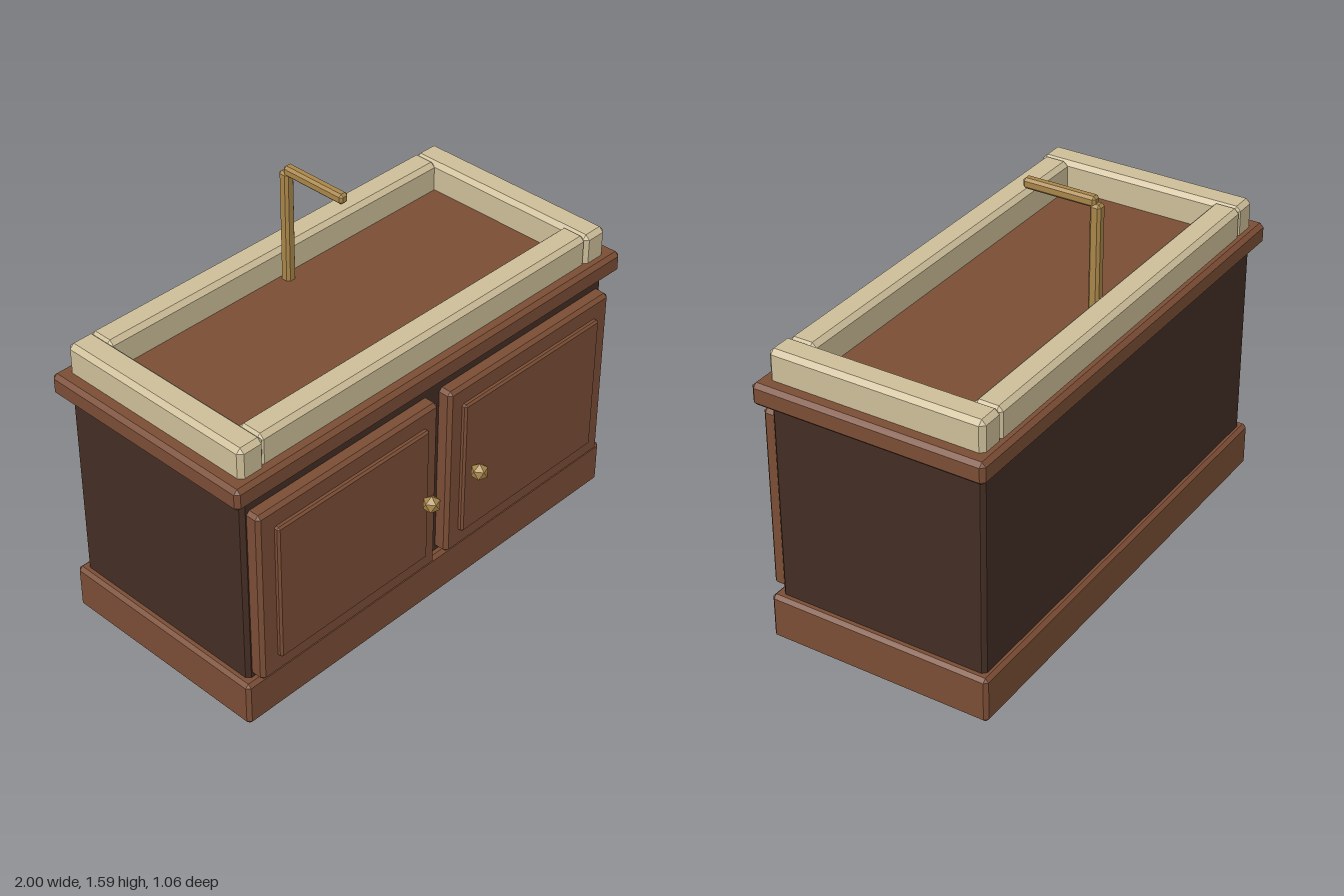
import * as THREE from 'three';
import { ConvexGeometry } from 'three/addons/geometries/ConvexGeometry.js';

const material = (name, color) => {
  const m = new THREE.MeshStandardMaterial({ color });
  m.name = name;
  return m;
};

// Box with flat chamfered edges, given as [min, max] along each axis
function chamferBox(xs, ys, zs, bevel) {
  const ranges = [xs, ys, zs];
  const points = [];
  for (let corner = 0; corner < 8; corner++) {
    const bits = [corner & 1, (corner >> 1) & 1, (corner >> 2) & 1];
    for (let outer = 0; outer < 3; outer++) {
      // one coordinate touches its face, the other two are inset
      const p = bits.map((b, i) => ranges[i][b] + (i === outer ? 0 : b ? -bevel : bevel));
      points.push(new THREE.Vector3(...p));
    }
  }
  return new ConvexGeometry(points);
}

export function createModel() {
  const wood = material('warm wood', 0x7a4d35);
  const darkWood = material('dark wood', 0x432d23);
  const stone = material('cream stone', 0xcdbe99);
  const brass = material('brass', 0xa98649);

  const group = new THREE.Group();
  group.name = 'washstand';
  const add = (name, geometry, mat) => {
    const mesh = new THREE.Mesh(geometry, mat);
    mesh.name = name;
    group.add(mesh);
    return mesh;
  };
  const box = (name, xs, ys, zs, bevel, mat) => add(name, chamferBox(xs, ys, zs, bevel), mat);

  // Cabinet
  box('cabinetBody', [-0.945, 0.945], [0.01, 1.05], [-0.495, 0.38], 0.015, darkWood);
  box('plinth', [-0.975, 0.975], [0, 0.19], [-0.52, 0.41], 0.014, wood);
  box('counter', [-1, 1], [1.01, 1.1], [-0.53, 0.42], 0.016, wood);

  // Basin rim: front and back rails butt into the side rails
  box('rimFront', [-0.845, 0.845], [1.08, 1.22], [0.258, 0.372], 0.018, stone);
  box('rimBack', [-0.845, 0.845], [1.08, 1.22], [-0.497, -0.383], 0.018, stone);

  for (const side of [-1, 1]) {
    const label = side > 0 ? 'Left' : 'Right';
    const span = (a, b) => (side > 0 ? [a, b] : [-b, -a]);

    box('rim' + label, span(0.83, 0.945), [1.08, 1.22], [-0.495, 0.382], 0.018, stone);

    // Door with raised panel and knob
    box('door' + label, span(0.03, 0.925), [0.2, 0.953], [0.36, 0.435], 0.014, wood);
    box('doorPanel' + label, span(0.095, 0.85), [0.278, 0.875], [0.415, 0.455], 0.008, wood);

    const knob = new THREE.IcosahedronGeometry(0.036, 0);
    knob.rotateZ(Math.atan(2 / (1 + Math.sqrt(5)))); // stand it on a vertex
    add('knob' + label, knob, brass).position.set(side * 0.13, 0.58, 0.5);
  }

  // Faucet
  box('faucetPost', [-0.022, 0.022], [1.07, 1.567], [-0.378, -0.334], 0.01, brass);
  box('faucetSpout', [-0.02, 0.02], [1.552, 1.594], [-0.356, -0.06], 0.01, brass);

  return group;
}
